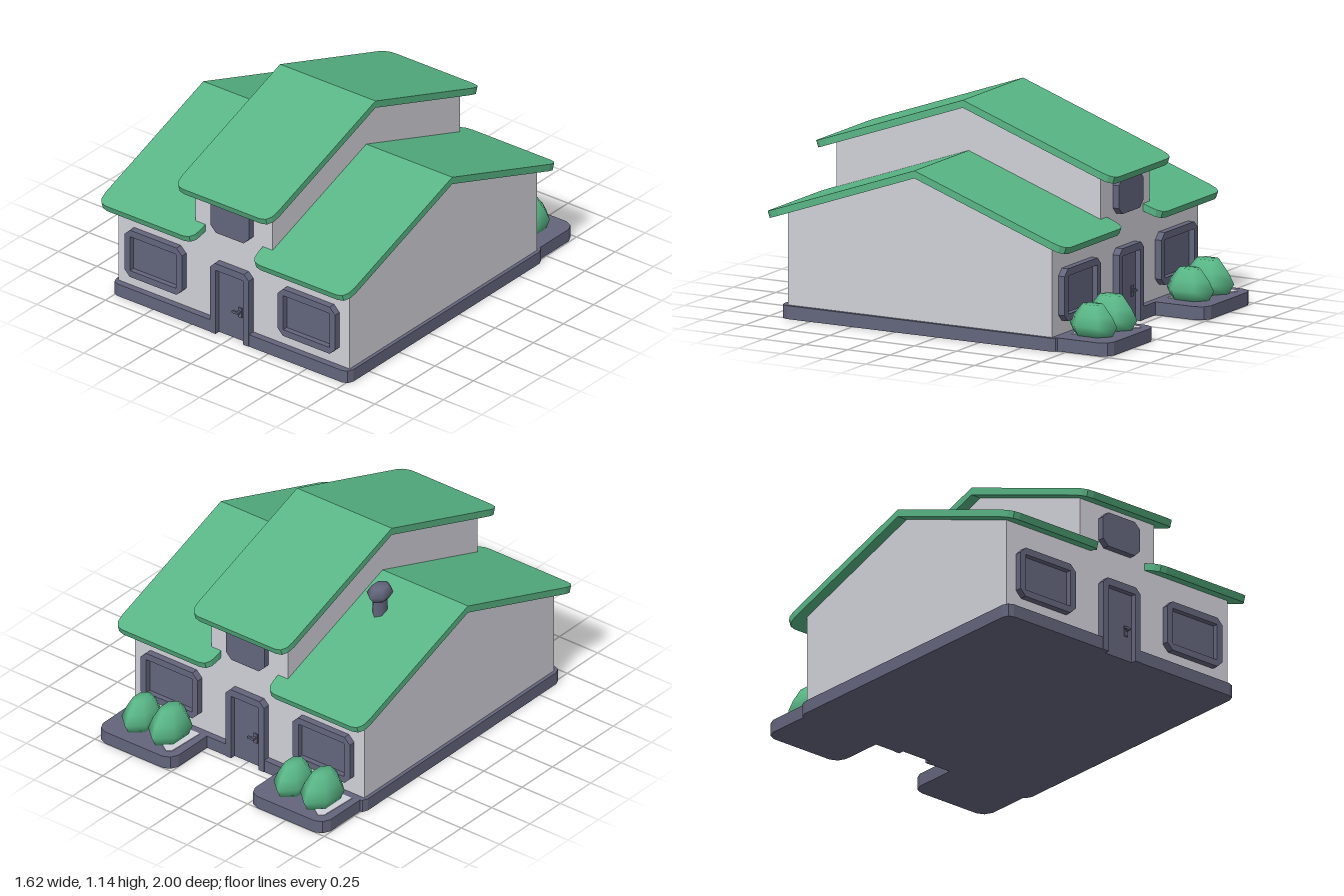
import * as THREE from 'three';

const green = new THREE.MeshStandardMaterial({ color: 0x58b585 });
const wallGrey = new THREE.MeshStandardMaterial({ color: 0xd0d0d8 });
const slate = new THREE.MeshStandardMaterial({ color: 0x63657c });
green.name = 'roof and leaf green';
wallGrey.name = 'pale wall grey';
slate.name = 'slate trim';

const MID_Z = 0.11;    // ridge line
const SLOPE = 0.354;
const WALL_D = 0.78;   // half depth of the walls
const EAVE_D = 0.89;   // half depth of the roofs
const ROOF_T = 0.04;

function add(parent, name, geometry, material) {
  const mesh = new THREE.Mesh(geometry, material);
  mesh.name = name;
  parent.add(mesh);
  return mesh;
}

const polygon = (pts) => new THREE.Shape(pts.map(([x, y]) => new THREE.Vector2(x, y)));

function extrude(shape, depth) {
  return new THREE.ExtrudeGeometry(shape, { depth, bevelEnabled: false, curveSegments: 3 });
}

// Plan outline (x, z) raised to a height
function slab(pts, height) {
  return extrude(polygon(pts), height).rotateX(Math.PI / 2).translate(0, height, 0);
}

// Rectangle with cut corners
function cutRect(x0, y0, x1, y1, c) {
  return [[x0 + c, y0], [x1 - c, y0], [x1, y0 + c], [x1, y1 - c],
    [x1 - c, y1], [x0 + c, y1], [x0, y1 - c], [x0, y0 + c]];
}

// Pentagonal house block with its ridge along x
function gableBlock(halfWidth, base, ridge) {
  const eave = ridge - SLOPE * WALL_D;
  const shape = polygon([[-WALL_D, base], [WALL_D, base], [WALL_D, eave], [0, ridge], [-WALL_D, eave]]);
  return extrude(shape, halfWidth * 2).rotateY(Math.PI / 2).translate(-halfWidth, 0, 0);
}

// One sloping roof panel, with rounded eave corners
function roofPanel(halfWidth, ridge) {
  const w = halfWidth, rx = 0.06, rz = 0.075;
  const shape = new THREE.Shape();
  shape.moveTo(-w, 0);
  shape.lineTo(w, 0);
  shape.lineTo(w, EAVE_D - rz);
  shape.quadraticCurveTo(w, EAVE_D, w - rx, EAVE_D);
  shape.lineTo(-w + rx, EAVE_D);
  shape.quadraticCurveTo(-w, EAVE_D, -w, EAVE_D - rz);
  const geometry = extrude(shape, ROOF_T).rotateX(Math.PI / 2);
  const p = geometry.attributes.position;
  for (let i = 0; i < p.count; i++) {
    const under = p.getY(i) < -ROOF_T / 2;
    const z = p.getZ(i) * (under ? 0.986 : 1);
    p.setZ(i, z);
    p.setY(i, p.getY(i) + ridge - SLOPE * z);
  }
  geometry.computeVertexNormals();
  return geometry;
}

// Six-sided turned form, stretched in plan
function hexForm(profile, rx, rz) {
  const pts = profile.map(([r, y]) => new THREE.Vector2(r, y));
  return new THREE.LatheGeometry(pts, 6).scale(rx, 1, rz);
}

// Doors, windows and trim of one long side
function facade() {
  const g = new THREE.Group();
  for (const x of [-0.4975, 0.4975]) {
    const frame = polygon(cutRect(-0.187, 0.14, 0.187, 0.415, 0.035));
    frame.holes.push(polygon([[-0.15, 0.177], [-0.15, 0.377], [0.15, 0.377], [0.15, 0.177]]));
    add(g, 'windowFrame', extrude(frame, 0.037), slate).position.set(x, 0, WALL_D);
    add(g, 'windowPane', new THREE.BoxGeometry(0.31, 0.21, 0.008), slate).position.set(x, 0.277, WALL_D + 0.003);
  }
  add(g, 'upperWindow', extrude(polygon(cutRect(-0.125, 0.595, 0.125, 0.785, 0.035)), 0.037), slate)
    .position.z = WALL_D;

  const doorFrame = polygon([[-0.125, 0], [-0.09, 0], [-0.09, 0.375], [0.09, 0.375], [0.09, 0],
    [0.125, 0], [0.125, 0.385], [0.095, 0.415], [-0.095, 0.415], [-0.125, 0.385]]);
  add(g, 'doorFrame', extrude(doorFrame, 0.045), slate).position.z = WALL_D - 0.005;
  add(g, 'door', new THREE.BoxGeometry(0.18, 0.375, 0.02), slate).position.set(0, 0.1875, WALL_D);
  add(g, 'handlePlate', new THREE.BoxGeometry(0.022, 0.056, 0.008), slate).position.set(0.05, 0.163, WALL_D + 0.013);
  add(g, 'handleStem', new THREE.BoxGeometry(0.012, 0.012, 0.022), slate).position.set(0.05, 0.169, WALL_D + 0.026);
  add(g, 'handleLever', new THREE.BoxGeometry(0.042, 0.012, 0.01), slate).position.set(0.037, 0.169, WALL_D + 0.036);
  return g;
}

// Planting bed with two shrubs
function planter() {
  const g = new THREE.Group();
  add(g, 'planterBase', slab([[0, -0.7], [0, -0.94], [0.02, -0.982], [0.06, -1], [0.435, -1],
    [0.475, -0.982], [0.495, -0.94], [0.495, -0.7]], 0.07), slate);
  add(g, 'gravelPatch', slab([[0.04, -0.715], [0.05, -0.93], [0.075, -0.95], [0.12, -0.92],
    [0.25, -0.85], [0.33, -0.81], [0.38, -0.715]], 0.004), wallGrey).position.y = 0.07;
  const profile = [[0, 0], [0.8, 0], [1, 0.055], [0.8, 0.11], [0.45, 0.175], [0, 0.175]];
  [[0.15, 1], [0.335, 0.92]].forEach(([x, s]) => {
    const shrub = add(g, 'shrub', hexForm(profile, 0.098, 0.152), green);
    shrub.position.set(x, 0.07, -0.82);
    shrub.scale.set(s, s, s);
  });
  return g;
}

export function createModel() {
  const model = new THREE.Group();
  model.name = 'house';
  const house = new THREE.Group();
  house.name = 'building';
  house.position.z = MID_Z;
  model.add(house);

  // Foundation, notched at both doors
  const half = [[0.77, 0.775], [0.757, 0.805], [0.73, 0.817], [0.09, 0.817], [0.09, 0.785],
    [-0.09, 0.785], [-0.09, 0.817], [-0.73, 0.817], [-0.757, 0.805], [-0.77, 0.775]];
  add(house, 'foundation', slab([...half, ...half.map(([x, z]) => [-x, -z])], 0.07), slate);

  // Walls
  add(house, 'mainWalls', gableBlock(0.75, 0.06, 0.85), wallGrey);
  add(house, 'towerWalls', gableBlock(0.25, 0.5, 1.125), wallGrey);

  // Both long sides share the same roof panels and openings
  for (const turn of [0, Math.PI]) {
    const side = new THREE.Group();
    side.name = turn ? 'backSide' : 'frontSide';
    side.rotation.y = turn;
    house.add(side);
    for (const x of [-0.4975, 0.4975]) {
      add(side, 'wingRoof', roofPanel(0.311, 0.87), green).position.x = x;
    }
    add(side, 'towerRoof', roofPanel(0.31, 1.145), green);
    const front = facade();
    front.name = 'openings';
    side.add(front);
  }

  // Chimney
  const chimney = new THREE.Group();
  chimney.name = 'chimney';
  chimney.position.set(-0.408, 0, -0.11);
  add(chimney, 'chimneyPost', hexForm([[0.55, 0.74], [0.55, 0.88]], 0.062, 0.085), slate);
  add(chimney, 'chimneyCap', hexForm([[0, 0.87], [0.65, 0.87], [1, 0.907], [0.65, 0.945], [0, 0.945]],
    0.062, 0.085), slate);
  model.add(chimney);

  // Planters behind the house
  for (const x of [-0.745, 0.25]) {
    const bed = planter();
    bed.name = 'planter';
    bed.position.x = x;
    model.add(bed);
  }
  return model;
}
